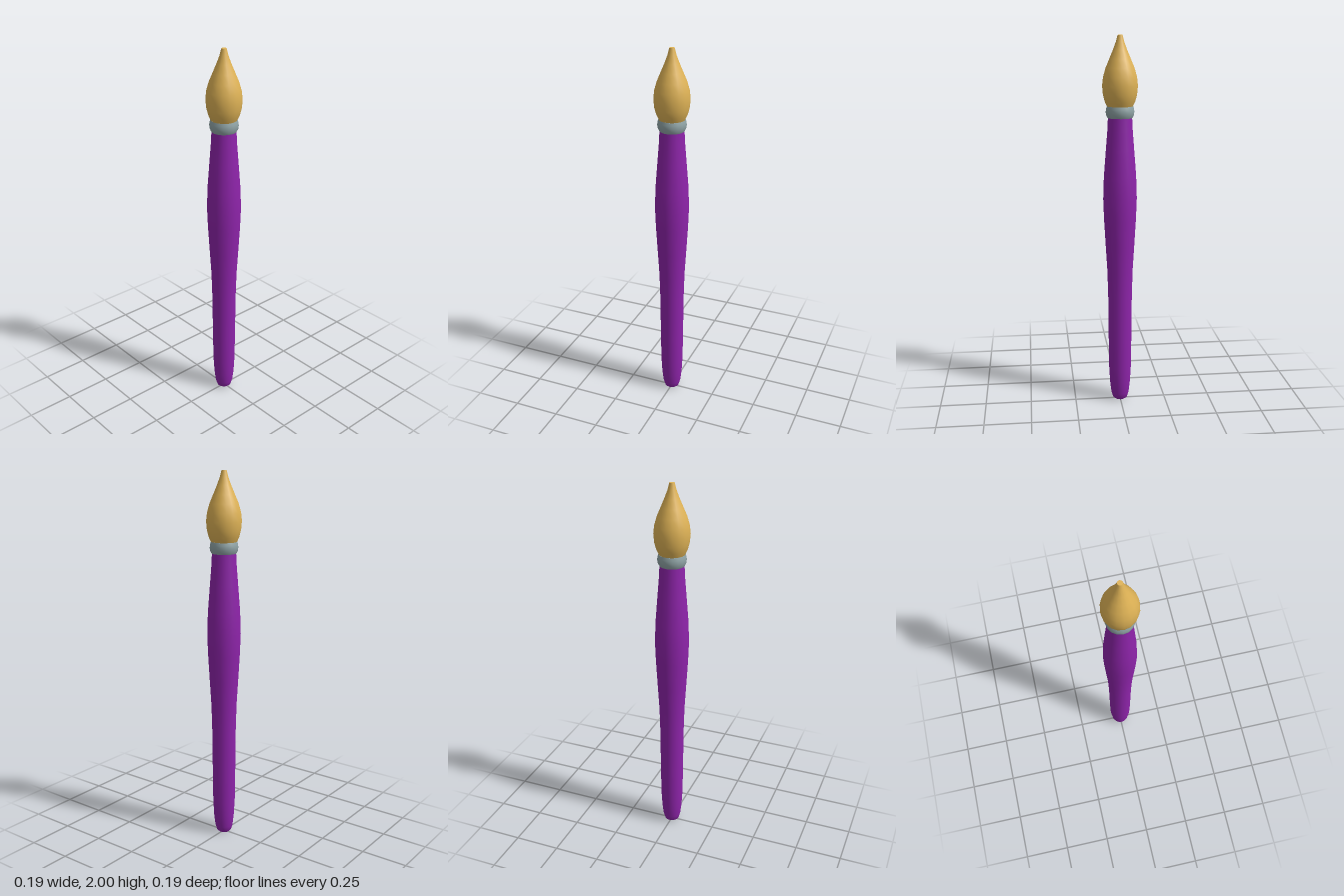
import * as THREE from 'three';

const SIDES = 16;

function material(name, color) {
  const m = new THREE.MeshStandardMaterial({ color });
  m.name = name;
  return m;
}

// Smooth turned part from [radius, height] pairs, listed bottom to top
function turned(name, profile, mat) {
  const points = profile.map(([r, y]) => new THREE.Vector2(r, y));
  const mesh = new THREE.Mesh(new THREE.LatheGeometry(points, SIDES), mat);
  mesh.name = name;
  return mesh;
}

// Flat disc facing up (1) or down (-1)
function disc(name, radius, y, facing, mat) {
  const mesh = new THREE.Mesh(new THREE.CircleGeometry(radius, SIDES), mat);
  mesh.rotation.x = -facing * Math.PI / 2;
  mesh.position.y = y;
  mesh.name = name;
  return mesh;
}

export function createModel() {
  const purple = material('purple paint', 0x8e24aa);
  const metal = material('grey metal', 0x90a4a6);
  const gold = material('golden hair', 0xdfb356);

  const brush = new THREE.Group();
  brush.name = 'paintbrush';

  // Handle: rounded foot, slim stem, swelling grip, narrow neck
  brush.add(
    turned('handle', [
      [0.028, 0], [0.04, 0.01], [0.049, 0.04], [0.056, 0.1], [0.061, 0.19],
      [0.063, 0.35], [0.065, 0.6], [0.069, 0.75], [0.078, 0.9], [0.086, 1.04],
      [0.09, 1.15], [0.086, 1.27], [0.075, 1.41], [0.067, 1.51], [0.063, 1.59],
    ], purple),
    disc('handleFoot', 0.028, 0, -1, purple),
  );

  // Ferrule: bulging metal ring with flat ends
  brush.add(
    turned('ferrule', [
      [0.066, 1.58], [0.072, 1.592], [0.075, 1.61], [0.073, 1.626], [0.069, 1.64],
    ], metal),
    disc('ferruleBottom', 0.066, 1.58, -1, metal),
    disc('ferruleTop', 0.069, 1.64, 1, metal),
  );

  // Bristles: flame-shaped tuft with a tiny blunt tip
  brush.add(
    turned('bristles', [
      [0.066, 1.635], [0.08, 1.665], [0.089, 1.7], [0.093, 1.745], [0.088, 1.79],
      [0.075, 1.835], [0.056, 1.88], [0.037, 1.925], [0.022, 1.965], [0.013, 2],
    ], gold),
    disc('bristleTip', 0.013, 2, 1, gold),
  );

  return brush;
}
